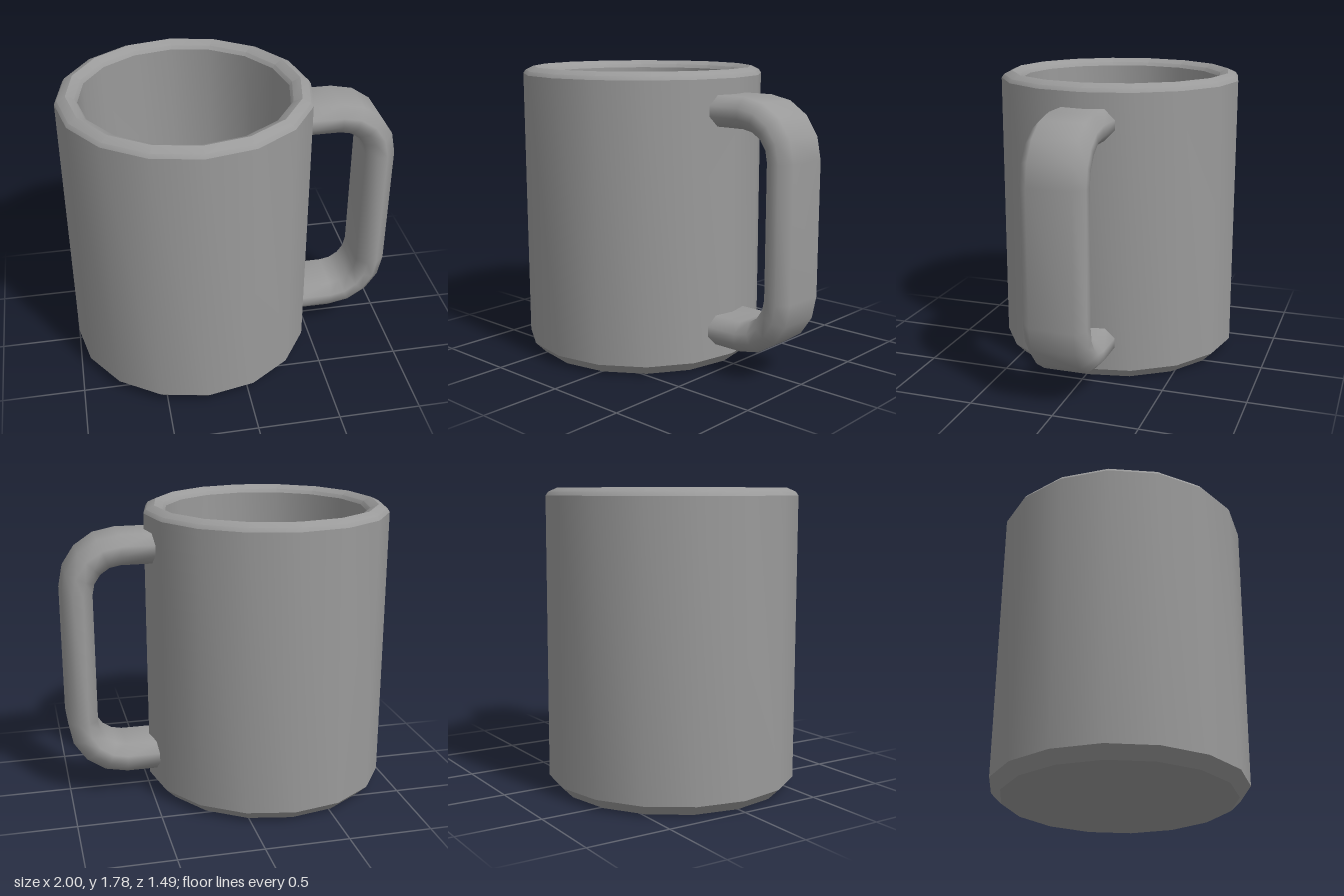
import * as THREE from 'three';
import { toCreasedNormals } from 'three/addons/utils/BufferGeometryUtils.js';

const SIDES = 16;
const AXIS_X = -0.255;
const FLOOR_Y = 0.1;

// Sweep a closed section [across, outward] along a path of [x, y, nx, ny] stations
function sweep(section, path) {
  const pos = [], idx = [], n = section.length;
  for (const [x, y, nx, ny] of path)
    for (const [z, d] of section) pos.push(x + nx * d, y + ny * d, z);
  for (let i = 0; i < path.length - 1; i++)
    for (let j = 0; j < n; j++) {
      const a = i * n + j, b = i * n + (j + 1) % n;
      idx.push(a, b, a + n, b, b + n, a + n);
    }
  const g = new THREE.BufferGeometry();
  g.setAttribute('position', new THREE.Float32BufferAttribute(pos, 3));
  g.setIndex(idx);
  g.computeVertexNormals();
  return g;
}

export function createModel() {
  const group = new THREE.Group();
  const grey = new THREE.MeshStandardMaterial({ color: 0x9a9a9a, side: THREE.DoubleSide });
  const teal = new THREE.MeshStandardMaterial({ color: 0x4b9289 });
  const add = (name, geometry, material) => {
    const mesh = new THREE.Mesh(geometry, material);
    mesh.name = name;
    group.add(mesh);
    return mesh;
  };

  // Cup wall: base, bevelled foot, outer wall, rounded rim, straight inner wall
  const profile = [
    [0, 0], [0.68, 0], [0.745, 0.065], [0.745, 1.735], [0.73, 1.757],
    [0.68, 1.78], [0.63, 1.757], [0.615, 1.735], [0.615, FLOOR_Y],
  ].map(([r, y]) => new THREE.Vector2(r, y));
  const cup = add('cup', toCreasedNormals(new THREE.LatheGeometry(profile, SIDES), 0.57), grey);
  cup.position.x = AXIS_X;

  // Coloured disc inside the cup
  const floor = add('insideFloor', new THREE.CircleGeometry(0.615, SIDES), teal);
  floor.rotation.x = -Math.PI / 2;
  floor.position.set(AXIS_X, FLOOR_Y, 0);

  // Handle: wide chamfered strap with two rounded corners
  const section = [
    [0.13, 0.09], [0.188, 0.03], [0.188, -0.03], [0.13, -0.09],
    [-0.13, -0.09], [-0.188, -0.03], [-0.188, 0.03], [-0.13, 0.09],
  ];
  const path = [[0.43, 1.552, 0, 1]];
  for (const [cy, start] of [[1.292, Math.PI / 2], [0.5, 0]])
    for (let i = 0; i <= 4; i++) {
      const a = start - i * Math.PI / 8, nx = Math.cos(a), ny = Math.sin(a);
      path.push([0.65 + 0.26 * nx, cy + 0.26 * ny, nx, ny]);
    }
  path.push([0.43, 0.24, 0, -1]);
  add('handle', sweep(section, path), grey);

  return group;
}
